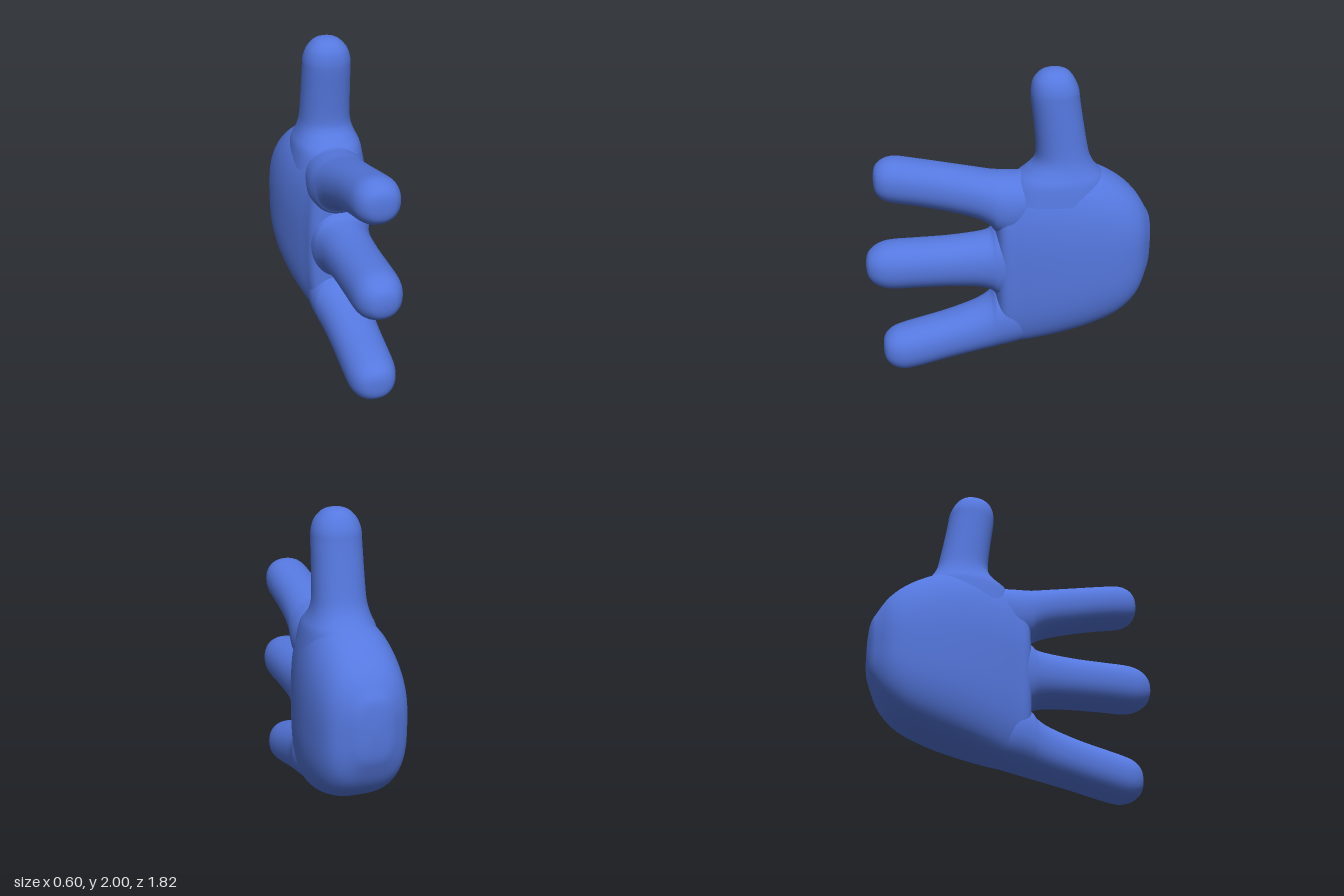
import * as THREE from 'three';
import { mergeVertices } from 'three/addons/utils/BufferGeometryUtils.js';

// Smooth loft along +z. Each row is [z, low y, high y, half width].
function loft(rows, { steps = 4, sides = 40, top = 2, bottom = 2 } = {}) {
  const spine = new THREE.CatmullRomCurve3(
    rows.map(([z, lo, hi]) => new THREE.Vector3(lo, hi, z)), false, 'catmullrom', 0.5);
  const width = new THREE.CatmullRomCurve3(
    rows.map((r) => new THREE.Vector3(r[3], 0, 0)), false, 'catmullrom', 0.5);
  const rings = (rows.length - 1) * steps;
  const positions = [], index = [];
  for (let i = 0; i <= rings; i++) {
    const p = spine.getPoint(i / rings);
    const w = Math.max(0, width.getPoint(i / rings).x);
    const mid = (p.x + p.y) / 2, h = Math.max(0, (p.y - p.x) / 2);
    for (let j = 0; j < sides; j++) {
      const a = (j / sides) * Math.PI * 2, c = Math.cos(a), s = Math.sin(a);
      const e = 2 / (s > 0 ? top : bottom); // superellipse exponent
      positions.push(
        w * Math.sign(c) * Math.abs(c) ** e,
        mid + h * Math.sign(s) * Math.abs(s) ** e,
        p.z);
      if (i < rings) {
        const a0 = i * sides + j, a1 = i * sides + (j + 1) % sides;
        index.push(a0, a1, a0 + sides, a1, a1 + sides, a0 + sides);
      }
    }
  }
  const geo = new THREE.BufferGeometry();
  geo.setAttribute('position', new THREE.Float32BufferAttribute(positions, 3));
  geo.setIndex(index);
  const merged = mergeVertices(geo, 1e-4);
  merged.computeVertexNormals();
  return merged;
}

export function createModel() {
  const group = new THREE.Group();
  const skin = new THREE.MeshStandardMaterial({ color: 0x5578df });
  skin.name = 'blue skin';
  const add = (name, geometry) => {
    const mesh = new THREE.Mesh(geometry, skin);
    mesh.name = name;
    group.add(mesh);
    return mesh;
  };

  // Broad palm, thick at the heel and thin towards the fingers
  add('palm', loft([
    [-0.912, 0.83, 0.83, 0],
    [-0.90, 0.68, 0.99, 0.09],
    [-0.87, 0.59, 1.06, 0.15],
    [-0.80, 0.46, 1.17, 0.235],
    [-0.68, 0.35, 1.275, 0.28],
    [-0.50, 0.272, 1.365, 0.298],
    [-0.32, 0.22, 1.38, 0.285],
    [-0.15, 0.18, 1.35, 0.25],
    [-0.03, 0.16, 1.335, 0.215],
    [0.05, 0.155, 1.32, 0.19],
    [0.085, 0.19, 1.28, 0.13],
    [0.10, 0.25, 1.22, 0],
  ], { sides: 64, top: 2.5, bottom: 3 }));

  // Fingers flare at the root so that neighbours meet in a web
  add('upperFinger', loft([
    [-0.15, 0.95, 1.33, 0.18],
    [0.0, 0.93, 1.34, 0.195],
    [0.09, 0.96, 1.348, 0.185],
    [0.13, 1.005, 1.355, 0.177],
    [0.22, 1.06, 1.375, 0.165],
    [0.40, 1.118, 1.415, 0.152],
    [0.58, 1.163, 1.453, 0.15],
    [0.70, 1.187, 1.475, 0.146],
    [0.77, 1.207, 1.463, 0.13],
    [0.815, 1.24, 1.43, 0.095],
    [0.833, 1.28, 1.39, 0.05],
    [0.838, 1.335, 1.335, 0],
  ], { top: 2.2, bottom: 2.2 }));

  add('middleFinger', loft([
    [-0.15, 0.47, 1.02, 0.18],
    [0.0, 0.48, 1.01, 0.195],
    [0.09, 0.515, 0.975, 0.185],
    [0.13, 0.55, 0.94, 0.177],
    [0.22, 0.577, 0.924, 0.165],
    [0.40, 0.592, 0.912, 0.157],
    [0.60, 0.598, 0.91, 0.155],
    [0.75, 0.60, 0.908, 0.152],
    [0.83, 0.62, 0.888, 0.134],
    [0.885, 0.66, 0.848, 0.094],
    [0.906, 0.705, 0.803, 0.05],
    [0.912, 0.754, 0.754, 0],
  ], { top: 2.2, bottom: 2.2 }));

  add('lowerFinger', loft([
    [-0.15, 0.178, 0.55, 0.18],
    [0.0, 0.146, 0.56, 0.195],
    [0.09, 0.127, 0.525, 0.185],
    [0.13, 0.118, 0.48, 0.177],
    [0.22, 0.10, 0.43, 0.165],
    [0.40, 0.062, 0.37, 0.157],
    [0.58, 0.02, 0.325, 0.155],
    [0.69, 0.002, 0.298, 0.15],
    [0.76, 0.016, 0.275, 0.13],
    [0.805, 0.05, 0.24, 0.095],
    [0.825, 0.09, 0.20, 0.05],
    [0.83, 0.15, 0.15, 0],
  ], { top: 2.2, bottom: 2.2 }));

  // Thumb is lofted along z, then turned upright
  const thumb = loft([
    [1.18, -0.02, 0.64, 0.235],
    [1.30, 0.03, 0.60, 0.215],
    [1.36, 0.10, 0.55, 0.19],
    [1.41, 0.15, 0.515, 0.172],
    [1.48, 0.167, 0.488, 0.16],
    [1.64, 0.153, 0.457, 0.154],
    [1.80, 0.133, 0.43, 0.15],
    [1.87, 0.132, 0.42, 0.146],
    [1.93, 0.147, 0.395, 0.125],
    [1.975, 0.185, 0.36, 0.085],
    [1.994, 0.23, 0.32, 0.045],
    [2.0, 0.276, 0.276, 0],
  ], { top: 2.2, bottom: 2.2 });
  thumb.rotateX(-Math.PI / 2);
  add('thumb', thumb).position.x = 0.012;

  return group;
}
